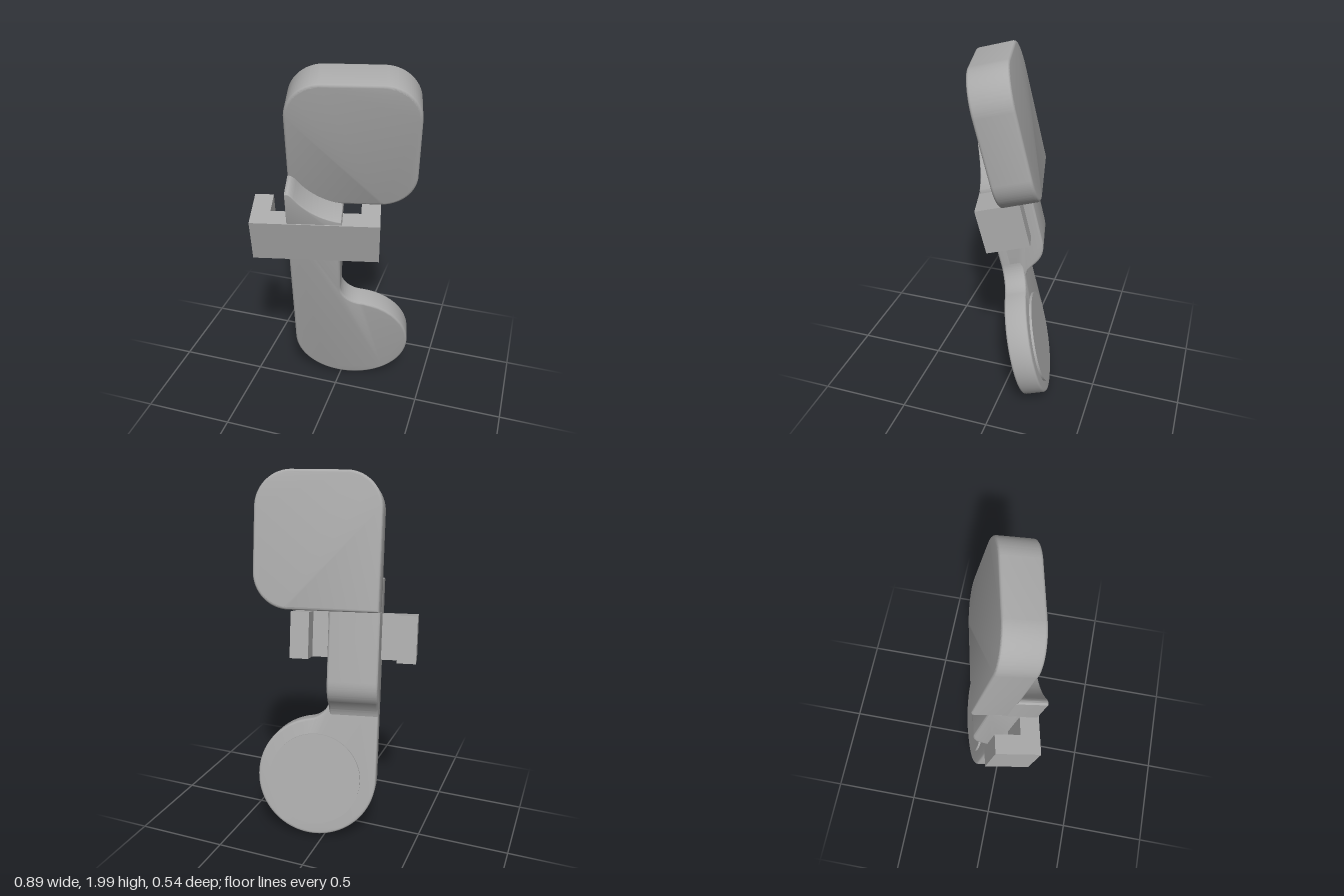
import * as THREE from 'three';
import { toCreasedNormals } from 'three/addons/utils/BufferGeometryUtils.js';

const TILT = THREE.MathUtils.degToRad(13);

// Extrude a shape from z0 to z1 with softened edges that stay inside the outline
function slab(shape, z0, z1, bevel) {
  const geo = new THREE.ExtrudeGeometry(shape, {
    depth: z1 - z0 - 2 * bevel,
    bevelEnabled: bevel > 0,
    bevelSize: bevel,
    bevelThickness: bevel,
    bevelOffset: -bevel,
    bevelSegments: 3,
    curveSegments: 32,
  });
  geo.translate(0, 0, z0 + bevel);
  return geo;
}

export function createModel() {
  const grey = new THREE.MeshStandardMaterial({ color: 0xaaaaaa });
  grey.name = 'grey';

  const body = new THREE.Group();
  body.name = 'body';
  body.rotation.set(TILT, TILT, 0, 'YXZ');
  const add = (name, geo) => {
    const mesh = new THREE.Mesh(toCreasedNormals(geo, 0.6), grey);
    mesh.name = name;
    body.add(mesh);
  };

  const left = -0.24, armRight = 0.031, front = -0.11;

  // Upper pad: three round corners, one square corner beside the arm
  const x1 = 0.42, y0 = 1.245, y1 = 1.952, r = 0.19;
  const pad = new THREE.Shape();
  pad.moveTo(left, y0);
  pad.lineTo(x1 - r, y0);
  pad.absarc(x1 - r, y0 + r, r, -Math.PI / 2, 0);
  pad.absarc(x1 - r, y1 - r, r, 0, Math.PI / 2);
  pad.absarc(left + r, y1 - r, r, Math.PI / 2, Math.PI);
  add('upperPad', slab(pad, -0.457, -0.257, 0.014));

  // Round foot blending into the flat front of the arm
  const cx = 0.091, cy = 0.31, R = 0.331, f = 0.13;
  const fx = armRight + f;
  const fy = cy + Math.sqrt((R + f) ** 2 - (fx - cx) ** 2);
  const join = Math.atan2(fy - cy, fx - cx);
  const plate = new THREE.Shape();
  plate.moveTo(left, 1.24);
  plate.lineTo(left, cy);
  plate.absarc(cx, cy, R, Math.PI, 2 * Math.PI + join);
  plate.absarc(fx, fy, f, join - Math.PI, -Math.PI, true);
  plate.lineTo(armRight, 1.24);
  add('footAndArmFront', slab(plate, -0.232, front, 0.012));

  // Raised disc on the back of the foot
  const disc = new THREE.CylinderGeometry(0.255, 0.255, 0.03, 64);
  disc.rotateX(Math.PI / 2);
  disc.translate(cx + 0.01, cy - 0.01, -0.23);
  add('backDisc', disc);

  // Thick back of the arm, curving in to the neck (side profile)
  const side = new THREE.Shape();
  side.moveTo(0.15, 0.64);
  side.lineTo(0.222, 0.64);
  side.quadraticCurveTo(0.235, 0.685, 0.256, 0.71);
  side.lineTo(0.315, 0.752);
  side.quadraticCurveTo(0.368, 0.795, 0.37, 0.87);
  side.lineTo(0.37, 1.25);
  side.lineTo(0.15, 1.25);
  const block = slab(side, left, armRight, 0.012);
  block.rotateY(Math.PI / 2);
  add('armBack', block);

  // Pointed hook in front of the pad, with a hollow upper slope
  const hook = new THREE.Shape();
  hook.moveTo(left, 1.15);
  hook.lineTo(armRight, 1.15);
  hook.lineTo(0.045, 1.235);
  hook.lineTo(0.04, 1.25);
  hook.quadraticCurveTo(-0.11, 1.275, -0.2, 1.405);
  hook.quadraticCurveTo(-0.225, 1.435, left, 1.42);
  add('hook', slab(hook, -0.3, front, 0.006));

  // Square-cornered bracket wrapped around the front of the arm
  const b0 = -0.433, b1 = 0.239, t = 0.1, near = 0.105, far = 0.337;
  const bracket = new THREE.Shape([
    [b0, near], [b1, near], [b1, far], [b1 - t, far],
    [b1 - t, near + t], [b0 + t, near + t], [b0 + t, far], [b0, far],
  ].map(([x, y]) => new THREE.Vector2(x, y)));
  const bar = slab(bracket, 0.981, 1.231, 0);
  bar.rotateX(-Math.PI / 2);
  add('bracket', bar);

  const model = new THREE.Group();
  model.name = 'model';
  model.add(body);
  return model;
}
